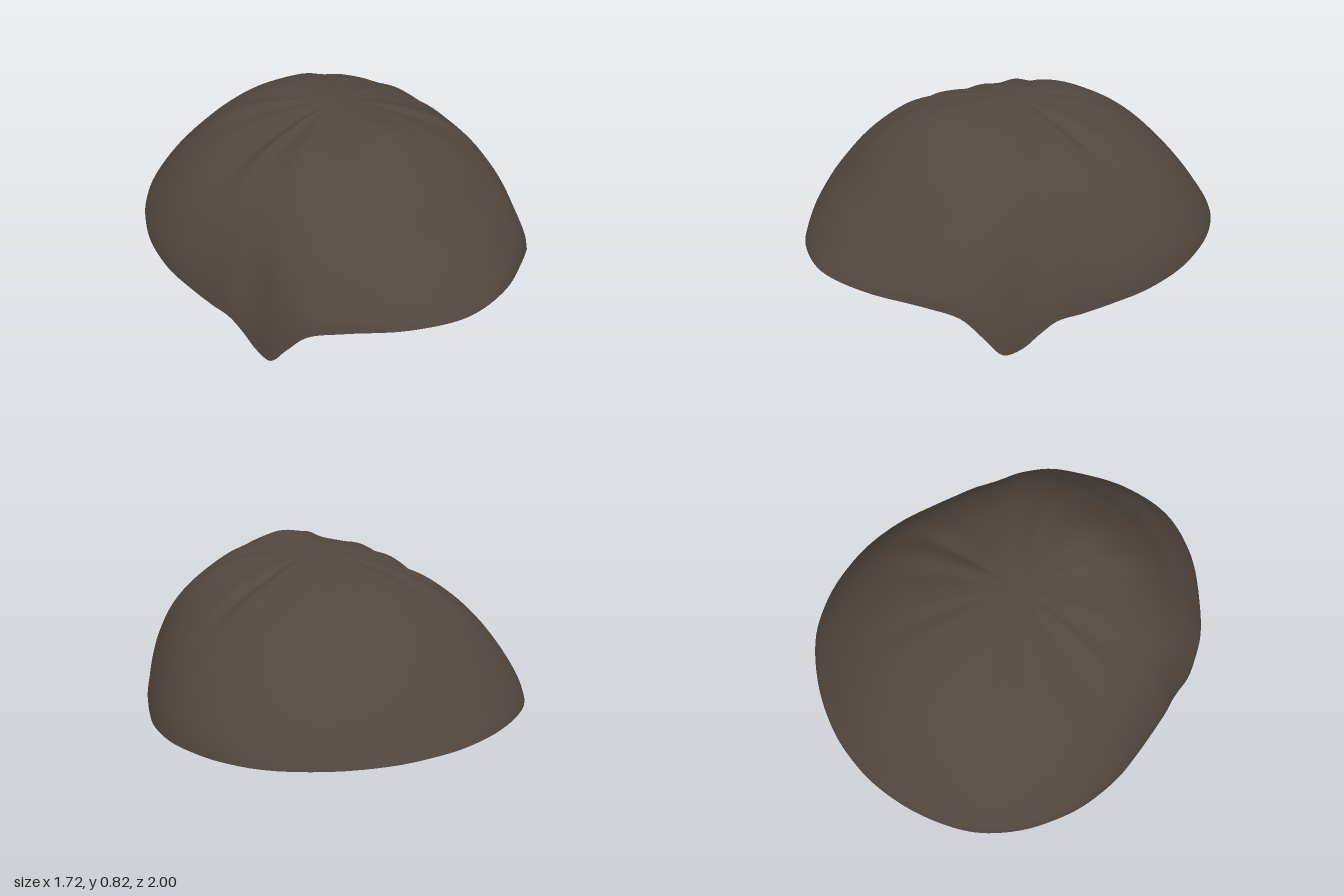
import * as THREE from 'three';

// Half of the rim, from the back centre round the left side to the front centre
const RIM = [
  [0, 0.215, -1], [0.17, 0.213, -0.985], [0.4, 0.208, -0.91], [0.62, 0.2, -0.77],
  [0.75, 0.187, -0.6], [0.82, 0.172, -0.43], [0.853, 0.157, -0.28], [0.855, 0.138, -0.08],
  [0.83, 0.126, 0.06], [0.79, 0.112, 0.22], [0.757, 0.105, 0.335], [0.73, 0.058, 0.405],
  [0.708, 0.006, 0.48], [0.688, 0, 0.565], [0.645, 0.09, 0.635], [0.585, 0.182, 0.705],
  [0.47, 0.217, 0.8], [0.25, 0.237, 0.94], [0, 0.24, 1],
];

// Heights from crown to rim at each share of the radius, for four directions
const T = [0, 0.2, 0.4, 0.55, 0.7, 0.8, 0.88, 0.95, 0.985, 1];
const PROFILES = [
  { angle: 0, y: [0.795, 0.805, 0.812, 0.75, 0.625, 0.5, 0.41, 0.315, 0.265, 0.24] },
  { angle: 0.88, y: [0.795, 0.79, 0.755, 0.705, 0.61, 0.515, 0.41, 0.27, 0.17, 0.09] },
  { angle: 1.65, y: [0.795, 0.775, 0.715, 0.66, 0.57, 0.485, 0.39, 0.28, 0.2, 0.14] },
  { angle: Math.PI, y: [0.795, 0.785, 0.755, 0.695, 0.595, 0.495, 0.395, 0.29, 0.24, 0.215] },
].map(({ angle, y }) => ({
  angle,
  curve: new THREE.CatmullRomCurve3(T.map((t, i) => new THREE.Vector3(t, y[i], 0))),
}));

// Point on the blended profile: x is the share of the radius, y the height
function profilePoint(angle, s) {
  const a = Math.abs(angle);
  let i = 0;
  while (i < PROFILES.length - 2 && a > PROFILES[i + 1].angle) i++;
  const p = PROFILES[i], q = PROFILES[i + 1];
  const k = THREE.MathUtils.smoothstep(a, p.angle, q.angle);
  return p.curve.getPoint(s).lerp(q.curve.getPoint(s), k);
}

// Soft folds that run out from the crown
function fold(angle, t) {
  const fade = THREE.MathUtils.smoothstep(t, 0.05, 0.45) * (1 - THREE.MathUtils.smoothstep(t, 0.5, 0.85));
  const sides = 0.25 + 0.75 * Math.sin(angle) ** 2;
  const wave = Math.sin(angle * 13 + 0.6) + 0.5 * Math.sin(angle * 19 + 2) + 0.5 * Math.sin(angle * 7 + 4);
  return 0.008 * fade * sides * wave;
}

// Rounded version of the rim, so its corners do not run up to the crown
function roundedRim(rim, u) {
  const sum = new THREE.Vector3();
  const steps = [-0.05, -0.025, 0, 0.025, 0.05];
  for (const d of steps) sum.add(rim.getPoint((u + d + 1) % 1));
  return sum.multiplyScalar(1.02 / steps.length);
}

function capGeometry(around = 216, rings = 36) {
  const half = RIM.map((p) => new THREE.Vector3(...p));
  const mirrored = half.slice(1, -1).reverse().map((p) => new THREE.Vector3(-p.x, p.y, p.z));
  const rim = new THREE.CatmullRomCurve3([...half, ...mirrored], true);

  const positions = [0, 0.795, 0];
  const index = [];
  const at = (ring, j) => 1 + (ring - 1) * around + (j % around);
  for (let ring = 1; ring <= rings; ring++) {
    for (let j = 0; j < around; j++) {
      const edge = rim.getPoint(j / around);
      const angle = Math.atan2(edge.x, edge.z);
      const p = profilePoint(angle, ring / rings);
      const outline = roundedRim(rim, j / around).lerp(edge, THREE.MathUtils.smoothstep(p.x, 0.6, 1));
      // Ease the lower part onto the exact rim height
      const ease = Math.max(0, (p.x - 0.7) / 0.3) ** 3;
      const lift = (edge.y - profilePoint(angle, 1).y) * ease;
      positions.push(outline.x * p.x, p.y + lift + fold(angle, p.x), outline.z * p.x);

      if (ring === 1) index.push(0, at(1, j + 1), at(1, j));
      else {
        const a = at(ring - 1, j), b = at(ring - 1, j + 1), c = at(ring, j), d = at(ring, j + 1);
        index.push(a, b, d, a, d, c);
      }
    }
  }
  const geometry = new THREE.BufferGeometry();
  geometry.setAttribute('position', new THREE.Float32BufferAttribute(positions, 3));
  geometry.setIndex(index);
  geometry.computeVertexNormals();
  return geometry;
}

export function createModel() {
  const group = new THREE.Group();
  group.name = 'hairCap';

  const hair = new THREE.MeshStandardMaterial({ color: 0x52473f, side: THREE.DoubleSide });
  hair.name = 'dark brown hair';

  // Open shell of short hair with pointed sideburns
  const shell = new THREE.Mesh(capGeometry(), hair);
  shell.name = 'hairShell';
  group.add(shell);
  return group;
}
